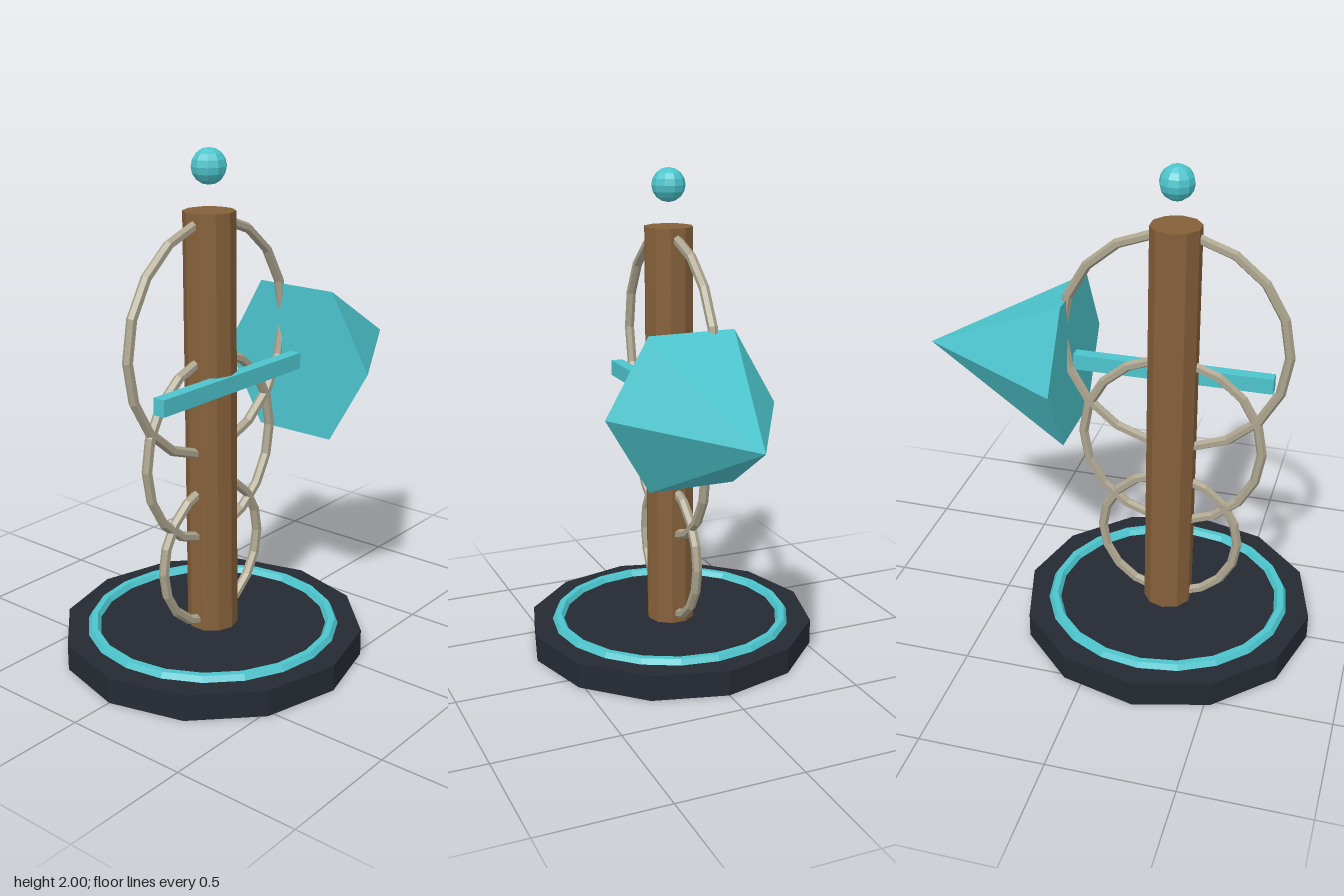
import * as THREE from 'three';

export function createModel() {
  const group = new THREE.Group();
  const mat = (color) => new THREE.MeshStandardMaterial({ color, flatShading: true });
  const teal = mat(0x4cc4cc), dark = mat(0x252a33), wood = mat(0x85603a), wire = mat(0xaca48e);
  const axis = -0.225; // x of the post and everything centred on it

  function add(name, geometry, material, x, y, z = 0) {
    const mesh = new THREE.Mesh(geometry, material);
    mesh.name = name;
    mesh.position.set(x, y, z);
    group.add(mesh);
    return mesh;
  }

  // Twelve-sided base with an inlaid ring
  add('base', new THREE.CylinderGeometry(0.6, 0.6, 0.105, 12), dark, axis, 0.0525);
  add('baseRing', new THREE.TorusGeometry(0.48, 0.025, 6, 20), teal, axis, 0.105).rotation.x = -Math.PI / 2;

  // Post with a ball floating above it
  add('post', new THREE.CylinderGeometry(0.1, 0.1, 1.67, 10), wood, axis, 0.935);
  add('ball', new THREE.SphereGeometry(0.068, 10, 8), teal, axis, 1.932);

  // Upright wire hoops, growing towards the top: [radius, height]
  [[0.285, 0.41], [0.365, 0.85], [0.45, 1.285]].forEach(([r, y], i) => {
    add('hoop' + (i + 1), new THREE.TorusGeometry(r, 0.02, 6, 18), wire, axis, y);
  });

  // Arrow: flat shaft and six-sided head pointing along +x
  add('arrowShaft', new THREE.BoxGeometry(0.82, 0.065, 0.05), teal, -0.2, 1.122, 0.085);
  add('arrowHead', new THREE.ConeGeometry(0.35, 0.62, 6), teal, 0.51, 1.122, 0.085).rotation.z = -Math.PI / 2;

  return group;
}
